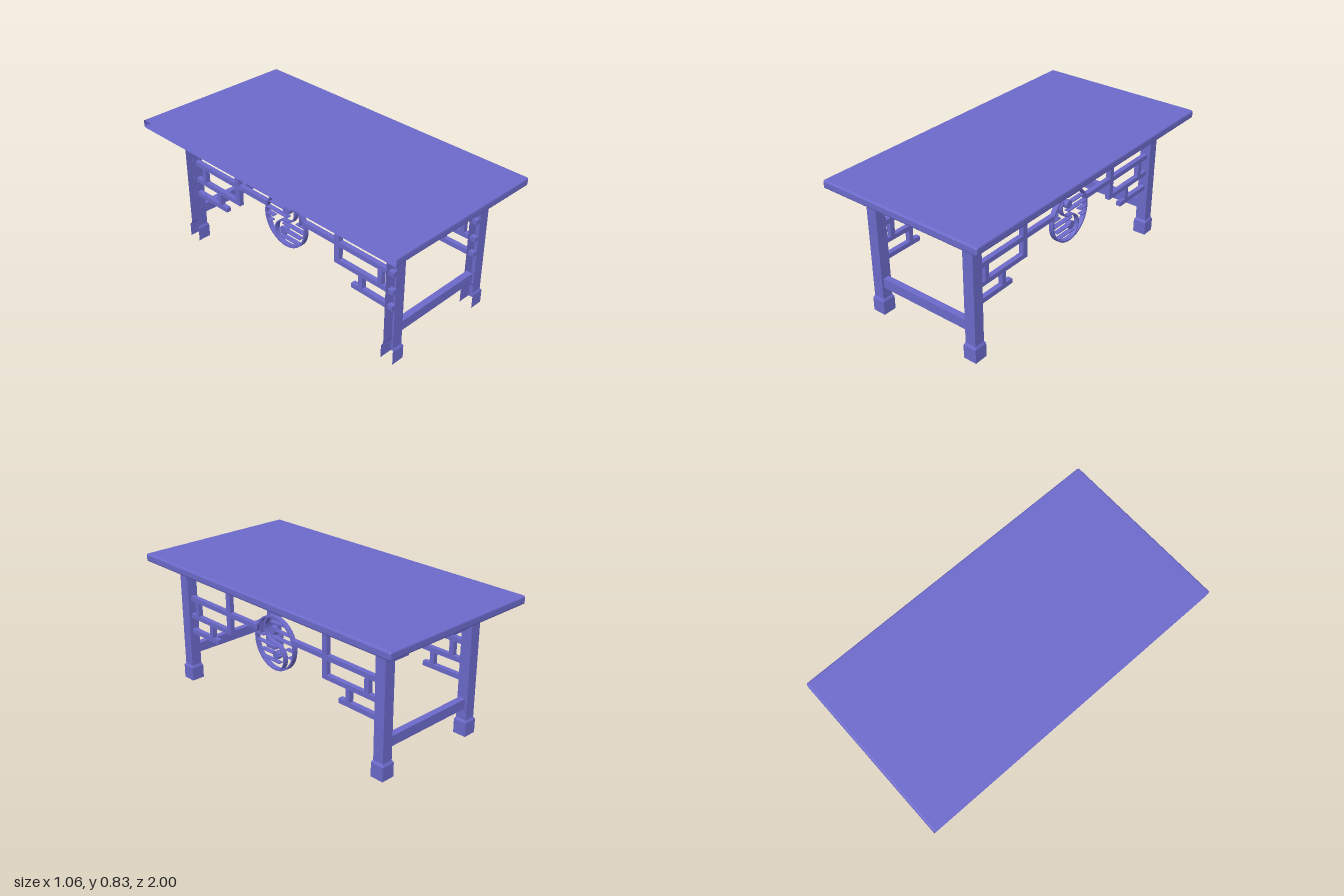
import * as THREE from 'three';
import { RoundedBoxGeometry } from 'three/addons/geometries/RoundedBoxGeometry.js';

const paint = new THREE.MeshStandardMaterial({ color: 0x6c6acb, side: THREE.DoubleSide });
paint.name = 'violet paint';

// Drops the faces on the -x side, leaving a shell open that way.
function openLeft(source) {
  const g = source.index ? source.toNonIndexed() : source;
  g.computeBoundingBox();
  const mid = (g.boundingBox.min.x + g.boundingBox.max.x) / 2;
  const p = g.attributes.position;
  const v = [0, 1, 2].map(() => new THREE.Vector3());
  const tri = new THREE.Triangle();
  const n = new THREE.Vector3();
  const kept = [];
  for (let i = 0; i < p.count; i += 3) {
    v.forEach((a, k) => a.fromBufferAttribute(p, i + k));
    tri.set(v[0], v[1], v[2]);
    tri.getNormal(n);
    const cx = (v[0].x + v[1].x + v[2].x) / 3;
    if (Math.abs(n.x) > 0.7 && cx < mid) continue;
    v.forEach((a) => kept.push(a.x, a.y, a.z));
  }
  const out = new THREE.BufferGeometry();
  out.setAttribute('position', new THREE.Float32BufferAttribute(kept, 3));
  out.computeVertexNormals();
  return out;
}

function add(parent, name, geometry) {
  const mesh = new THREE.Mesh(geometry, paint);
  mesh.name = name;
  parent.add(mesh);
  return mesh;
}

// Box given by its extents on each axis.
function bar(parent, name, [x0, x1], [y0, y1], [z0, z1]) {
  const g = new THREE.BoxGeometry(Math.abs(x1 - x0), Math.abs(y1 - y0), Math.abs(z1 - z0));
  g.translate((x0 + x1) / 2, (y0 + y1) / 2, (z0 + z1) / 2);
  return add(parent, name, g);
}

// Flat curved band or disc standing in the yz plane; the shape's x runs toward -z.
function upright(parent, name, shape, depth) {
  const g = new THREE.ExtrudeGeometry(shape, { depth, bevelEnabled: false, curveSegments: 32 });
  g.translate(0, 0, -depth / 2);
  g.rotateY(Math.PI / 2);
  return add(parent, name, g);
}

function arcBand(cy, outer, inner, a0, a1) {
  const s = new THREE.Shape();
  s.absarc(0, cy, outer, a0, a1, false);
  s.absarc(0, cy, inner, a1, a0, true);
  return s;
}

const LEG_X = [-0.331, 0.349];
const LEG_Z = [-0.807, 0.833];
const MID_X = 0.009;
const MID_Z = 0.022;

// Square leg with a flared foot and a stepped capital
function legGeometry() {
  const profile = [[0.042, 0], [0.042, 0.085], [0.034, 0.1], [0.034, 0.75],
    [0.044, 0.75], [0.044, 0.757], [0.038, 0.762], [0.038, 0.78]];
  const points = profile.map(([h, y]) => new THREE.Vector2(h * Math.SQRT2, y));
  return openLeft(new THREE.LatheGeometry(points, 4, Math.PI / 4));
}

// Round medallion with an S-shaped divider, two dots and thin slats
function medallion() {
  const group = new THREE.Group();
  group.name = 'medallion';
  const R = 0.163;
  const depth = 0.03;
  const ring = new THREE.Shape();
  ring.absarc(0, 0, R, 0, Math.PI * 2);
  const hole = new THREE.Path();
  hole.absarc(0, 0, R - 0.01, 0, Math.PI * 2, true);
  ring.holes.push(hole);
  upright(group, 'medallionRing', ring, depth);

  const r = (R - 0.003) / 2;
  const h = Math.PI / 2;
  upright(group, 'upperCurve', arcBand(r, r + 0.004, r - 0.004, h, 3 * h), depth);
  upright(group, 'lowerCurve', arcBand(-r, r + 0.004, r - 0.004, -h, h), depth);

  for (const [z, y] of [[0.014, 0.076], [-0.013, -0.069]]) {
    const dot = new THREE.CylinderGeometry(0.025, 0.025, depth, 24);
    dot.rotateZ(h);
    dot.translate(0, y, z);
    add(group, 'dot', dot);
  }
  // slats: height, start and end along z
  const slats = [[0.126, 0.03, -0.095], [0.079, 0.01, -0.125], [0.033, 0.02, -0.153],
    [0.023, 0.155, 0.09], [-0.02, 0.154, -0.02], [-0.066, 0.12, -0.05],
    [-0.111, 0.115, -0.04], [-0.007, -0.095, -0.153], [-0.05, -0.115, -0.15]];
  for (const [y, z0, z1] of slats) {
    bar(group, 'slat', [-depth / 2, depth / 2], [y - 0.003, y + 0.003], [z0, z1]);
  }
  bar(group, 'uprightSlat', [-depth / 2, depth / 2], [0.023, 0.1], [0.117, 0.121]);
  group.position.set(0, 0.497, MID_Z);
  return group;
}

// Fretwork along one long side
function sideLattice() {
  const group = new THREE.Group();
  group.name = 'sideLattice';
  const d = [-0.015, 0.015];
  bar(group, 'topRail', d, [0.682, 0.714], LEG_Z);
  for (const s of [1, -1]) {
    const legZ = s > 0 ? LEG_Z[1] : LEG_Z[0];
    const m = (z) => MID_Z + s * z;
    bar(group, 'middleRail', d, [0.536, 0.565], [m(0.155), legZ]);
    bar(group, 'lowerRail', d, [0.422, 0.45], [m(0.39), legZ]);
    bar(group, 'bottomRail', d, [0.32, 0.349], [m(0.518), legZ]);
    bar(group, 'longPost', d, [0.422, 0.785], [m(0.39), m(0.425)]);
    bar(group, 'shortPost', d, [0.45, 0.536], [m(0.702), m(0.732)]);
    bar(group, 'bottomPost', d, [0.349, 0.422], [m(0.568), m(0.597)]);
    bar(group, 'centrePost', d, [0.682, 0.785], [m(0.001), m(0.029)]);
  }
  group.add(medallion());
  return group;
}

// Stretcher and corner brackets of one short end
function endFrame() {
  const group = new THREE.Group();
  group.name = 'endFrame';
  const d = [-0.0125, 0.0125];
  bar(group, 'stretcher', [LEG_X[0] + 0.034, LEG_X[1] - 0.034], [0.17, 0.23], [-0.02, 0.02]);
  for (const s of [1, -1]) {
    const legX = s > 0 ? LEG_X[1] : LEG_X[0];
    const m = (x) => MID_X + s * x;
    bar(group, 'bracketRail', [m(0.1), legX], [0.7, 0.715], d);
    bar(group, 'bracketLowerRail', [m(0.179), legX], [0.65, 0.665], d);
    bar(group, 'bracketInnerPost', [m(0.1), m(0.115)], [0.7, 0.785], d);
    bar(group, 'bracketOuterPost', [m(0.261), m(0.276)], [0.715, 0.785], d);
    bar(group, 'bracketLowerPost', [m(0.205), m(0.219)], [0.665, 0.7], d);
  }
  return group;
}

export function createModel() {
  const table = new THREE.Group();
  table.name = 'table';

  // Slab with soft edges on three sides and a square cut on the -x side
  const slab = new RoundedBoxGeometry(1.1, 0.05, 2, 3, 0.012);
  slab.translate(-0.02, 0.805, 0);
  const p = slab.attributes.position;
  for (let i = 0; i < p.count; i++) p.setX(i, Math.max(p.getX(i), -0.53));
  add(table, 'tableTop', openLeft(slab));

  const leg = legGeometry();
  for (const x of LEG_X) {
    for (const z of LEG_Z) add(table, 'leg', leg).position.set(x, 0, z);
    const lattice = sideLattice();
    lattice.position.x = x;
    table.add(lattice);
  }
  for (const z of LEG_Z) {
    const frame = endFrame();
    frame.position.z = z;
    table.add(frame);
  }
  return table;
}
